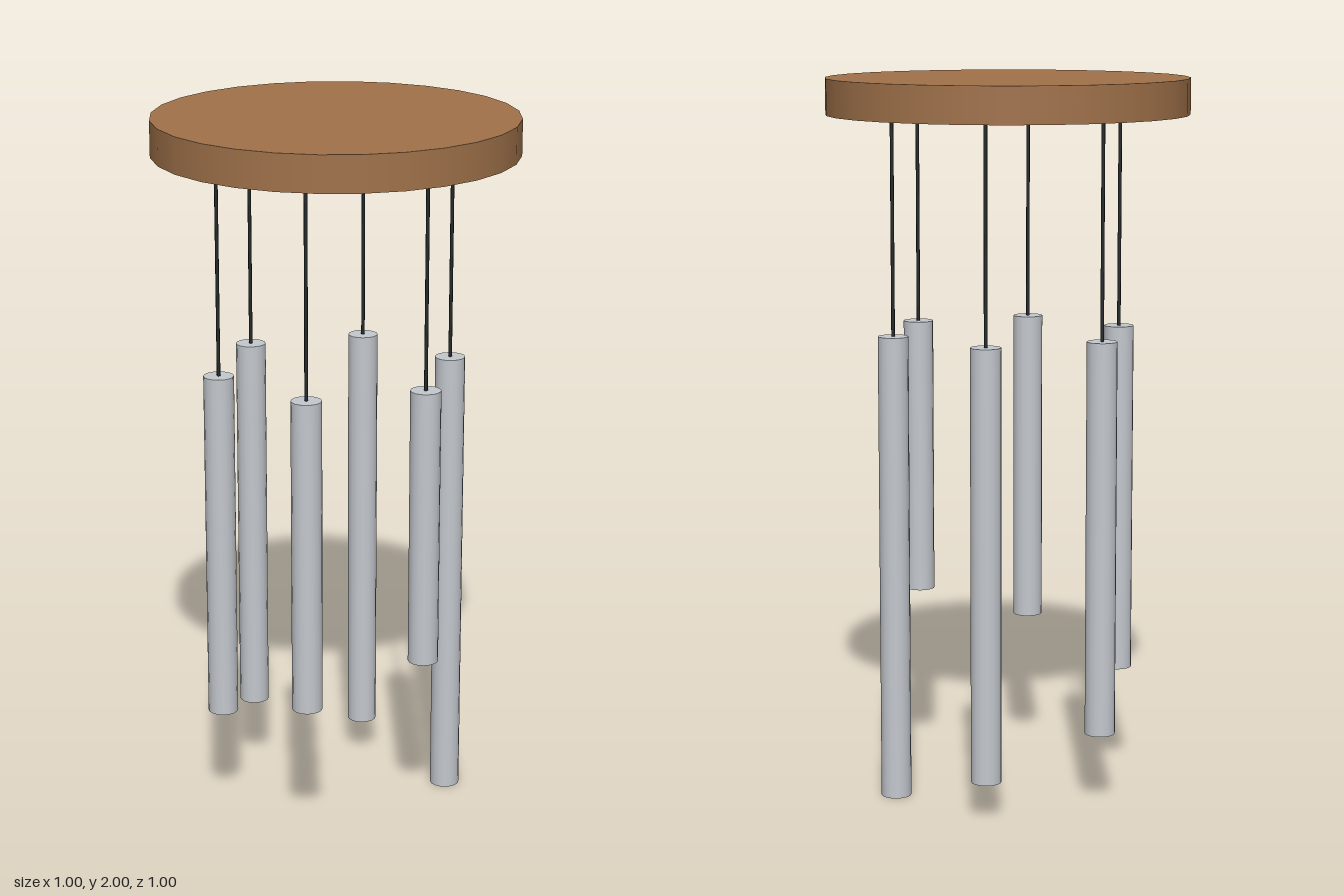
import * as THREE from 'three';

export function createModel() {
  const wood = new THREE.MeshStandardMaterial({ color: 0xa0724a });
  wood.name = 'wood';
  const metal = new THREE.MeshStandardMaterial({ color: 0xc4c9ce });
  metal.name = 'silver metal';
  const cord = new THREE.MeshStandardMaterial({ color: 0x22282a });
  cord.name = 'dark cord';

  const group = new THREE.Group();
  group.name = 'windChime';

  // Upright cylinder between two heights
  function rod(name, parent, material, radius, bottom, top, sides) {
    const geometry = new THREE.CylinderGeometry(radius, radius, top - bottom, sides);
    const mesh = new THREE.Mesh(geometry, material);
    mesh.name = name;
    mesh.position.y = (top + bottom) / 2;
    parent.add(mesh);
  }

  // Wooden disc on top
  rod('topDisc', group, wood, 0.5, 1.9, 2, 28);

  // Six hanging tubes, each longer than the one before
  const count = 6, ringRadius = 0.333, tubeTop = 1.302;
  for (let i = 0; i < count; i++) {
    const angle = (i / count) * Math.PI * 2;
    const chime = new THREE.Group();
    chime.name = `chime${i + 1}`;
    chime.position.set(Math.cos(angle) * ringRadius, 0, Math.sin(angle) * ringRadius);
    rod('string', chime, cord, 0.005, tubeTop, 1.9, 8);
    rod('tube', chime, metal, 0.042, 0.1042 * (count - 1 - i), tubeTop, 16);
    group.add(chime);
  }
  return group;
}
